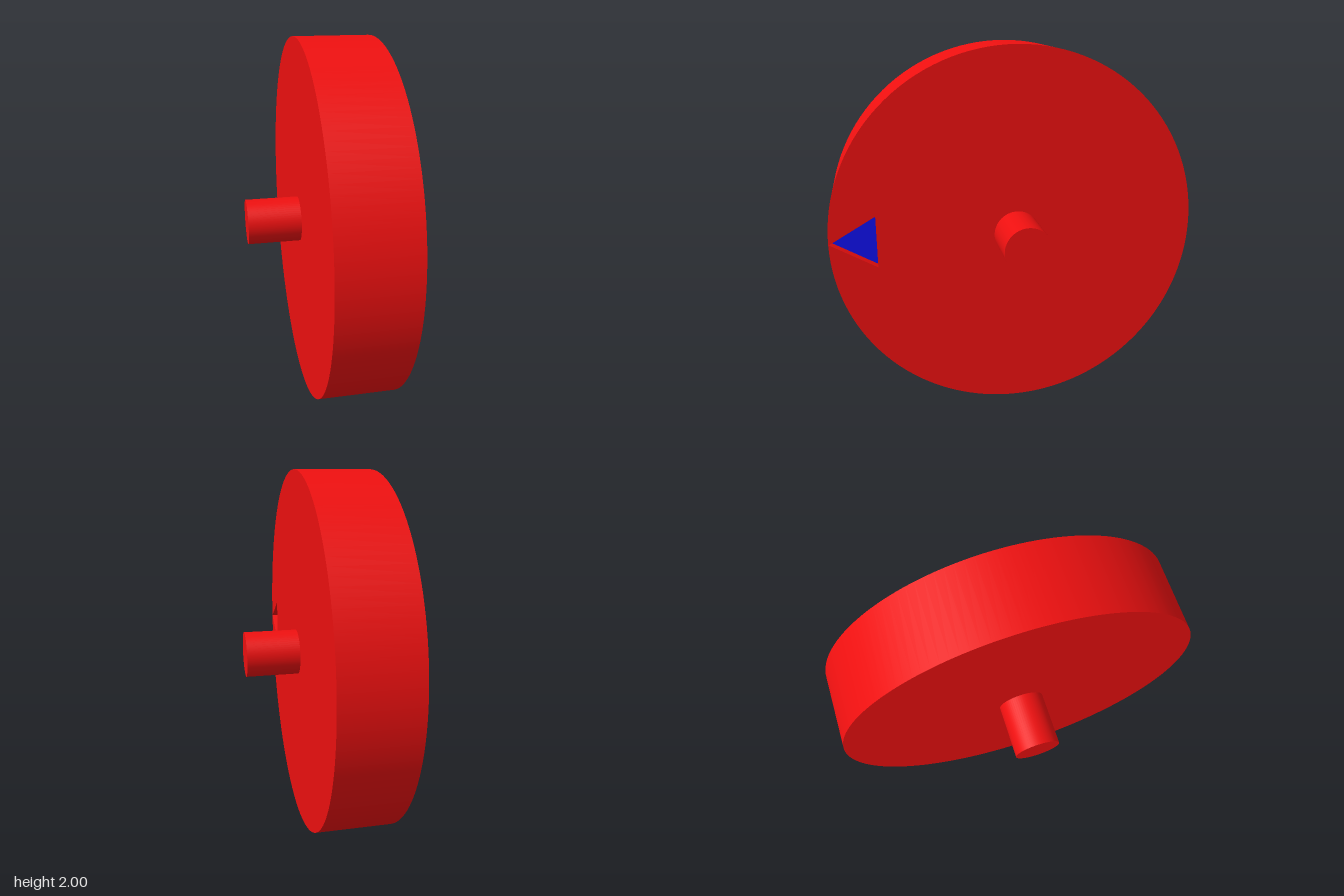
import * as THREE from 'three';

const R = 1, HALF = 0.208;               // wheel radius and half width
const SHAFT_R = 0.125, SHAFT_LEN = 1;
const MARK_R = 0.163, MARK_DEPTH = 0.054; // triangular recess
const MARK_X = -0.997 + MARK_R;           // recess centre, tip touching the rim
const SEG = 128;

export function createModel() {
  const red = new THREE.MeshStandardMaterial({ color: 0xee1010 });
  const redInner = new THREE.MeshStandardMaterial({ color: 0xee1010, flatShading: true, side: THREE.DoubleSide });
  const blue = new THREE.MeshStandardMaterial({ color: 0x1010ee });

  // Built with the axle along z, then turned so the axle lies along x
  const model = new THREE.Group();
  model.name = 'wheelOnAxle';
  const wheel = new THREE.Group();
  wheel.name = 'wheel';
  model.add(wheel);

  const add = (parent, name, geometry, material) => {
    const mesh = new THREE.Mesh(geometry, material);
    mesh.name = name;
    parent.add(mesh);
    return mesh;
  };

  // Corners of the triangle, tip pointing to the rim
  const corners = [0, 1, 2].map((k) => {
    const a = Math.PI + (k * Math.PI * 2) / 3;
    return new THREE.Vector2(MARK_X + MARK_R * Math.cos(a), MARK_R * Math.sin(a));
  });

  // Rim and plain face
  add(wheel, 'rim', new THREE.CylinderGeometry(R, R, 2 * HALF, SEG, 1, true).rotateX(Math.PI / 2), red);
  add(wheel, 'plainFace', new THREE.CircleGeometry(R, SEG).rotateY(Math.PI).translate(0, 0, -HALF), red);

  // Face with the triangular opening
  const face = new THREE.Shape().absarc(0, 0, R, 0, Math.PI * 2);
  face.holes.push(new THREE.Path(corners));
  add(wheel, 'markedFace', new THREE.ShapeGeometry(face, SEG / 2).translate(0, 0, HALF), red);

  // Recess walls and coloured floor
  const walls = new THREE.CylinderGeometry(MARK_R, MARK_R, MARK_DEPTH, 3, 1, true, -Math.PI / 2);
  walls.rotateX(Math.PI / 2).translate(MARK_X, 0, HALF - MARK_DEPTH / 2);
  add(wheel, 'recessWalls', walls, redInner);
  add(wheel, 'recessFloor', new THREE.ShapeGeometry(new THREE.Shape(corners)).translate(0, 0, HALF - MARK_DEPTH), blue);

  // Axle through the centre
  add(model, 'axle', new THREE.CylinderGeometry(SHAFT_R, SHAFT_R, SHAFT_LEN, 64).rotateX(Math.PI / 2), red);

  model.rotation.y = Math.PI / 2;
  model.position.y = R;

  const root = new THREE.Group();
  root.name = 'model';
  root.add(model);
  return root;
}
